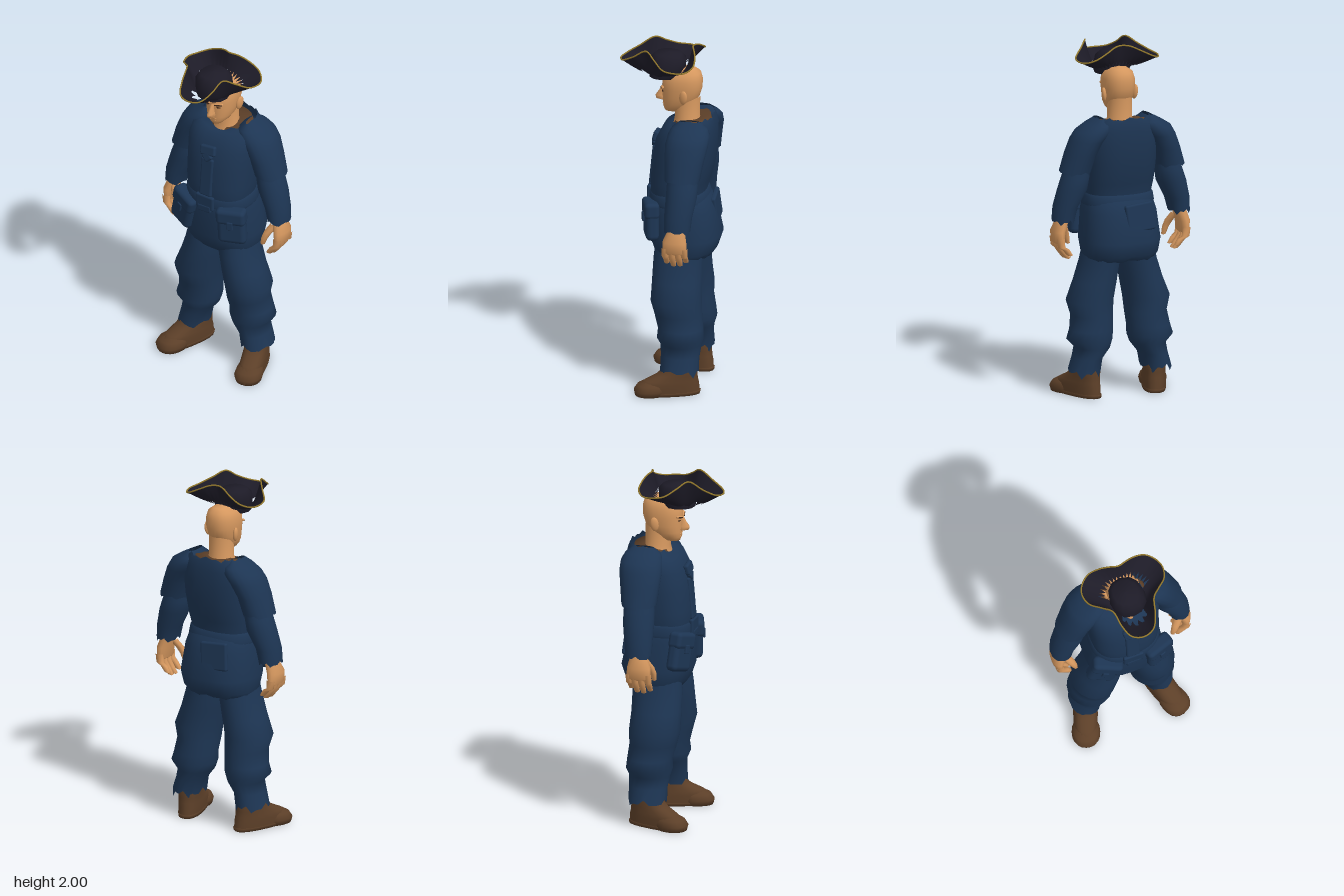
import * as THREE from 'three';
import { RoundedBoxGeometry } from 'three/addons/geometries/RoundedBoxGeometry.js';

const mat = (name, color, side = THREE.FrontSide) => {
  const m = new THREE.MeshStandardMaterial({ color, side });
  m.name = name;
  return m;
};

// Surface through horizontal rings [y, cx, cz, rx, rz], listed from low to high.
// p squares off the ellipse; jagLow / jagHigh tear the first / last edge;
// dip lowers the front of the last two rings.
function loft(rings, { n = 20, p = 2, jagLow = 0, jagHigh = 0, dip = 0 } = {}) {
  const pos = [], idx = [];
  const pw = v => Math.sign(v) * Math.abs(v) ** (2 / p);
  rings.forEach(([y, cx, cz, rx, rz], j) => {
    const jag = j === 0 ? jagLow : j === rings.length - 1 ? jagHigh : 0;
    for (let i = 0; i < n; i++) {
      const a = i / n * Math.PI * 2;
      const tear = jag * Math.sin(i * 2.3) * Math.cos(i * 0.9);
      const drop = j >= rings.length - 2 ? dip * Math.max(0, Math.sin(a)) : 0;
      pos.push(cx + rx * pw(Math.cos(a)), y + tear - drop, cz + rz * pw(Math.sin(a)));
      if (j === rings.length - 1) continue;
      const a0 = j * n + i, b0 = j * n + (i + 1) % n;
      idx.push(a0, a0 + n, b0, b0, a0 + n, b0 + n);
    }
  });
  const g = new THREE.BufferGeometry();
  g.setAttribute('position', new THREE.Float32BufferAttribute(pos, 3));
  g.setIndex(idx);
  g.computeVertexNormals();
  return g;
}

export function createModel() {
  const cloth = mat('blue cloth', 0x1d3553, THREE.DoubleSide);
  const skin = mat('skin', 0xd6985f);
  const leather = mat('brown leather', 0x5c3f28, THREE.DoubleSide);
  const felt = mat('black felt', 0x1d1b27, THREE.DoubleSide);
  const gold = mat('gold trim', 0x94792c);
  const dark = mat('dark features', 0x3a2519);

  const root = new THREE.Group();
  root.name = 'sailor';
  const add = (name, geo, material, parent = root) => {
    const m = new THREE.Mesh(geo, material);
    m.name = name;
    parent.add(m);
    return m;
  };
  const box = (name, w, h, d, material, [x, y, z], [rx, ry, rz] = [0, 0, 0], r = 0.012, parent = root) => {
    const m = add(name, new RoundedBoxGeometry(w, h, d, 2, Math.min(r, d * 0.45)), material, parent);
    m.position.set(x, y, z);
    m.rotation.set(rx, ry, rz);
    return m;
  };

  // Shirt, skirt and collar
  add('shirt', loft([
    [1.08, 0, -0.05, 0.18, 0.15], [1.15, 0, -0.045, 0.19, 0.155], [1.22, 0, -0.055, 0.2, 0.165],
    [1.34, 0, -0.075, 0.205, 0.175], [1.45, 0, -0.088, 0.212, 0.168], [1.53, 0, -0.11, 0.205, 0.148],
    [1.58, 0, -0.125, 0.175, 0.122], [1.598, 0, -0.135, 0.15, 0.105],
  ], { n: 32, p: 2.5, jagHigh: 0.012, dip: 0.045 }), cloth);
  add('skirt', loft([
    [0.78, 0, -0.085, 0.195, 0.15], [0.81, 0, -0.085, 0.215, 0.175], [0.89, 0, -0.085, 0.226, 0.202],
    [1.05, 0, -0.067, 0.21, 0.186], [1.11, 0, -0.055, 0.195, 0.172], [1.15, 0, -0.05, 0.18, 0.15],
  ], { n: 32, p: 2.4, jagLow: 0.008 }), cloth);
  add('belt', loft([
    [1.085, 0, -0.052, 0.2, 0.168], [1.1, 0, -0.052, 0.204, 0.172], [1.14, 0, -0.048, 0.2, 0.165],
    [1.155, 0, -0.048, 0.19, 0.155],
  ], { n: 32, p: 2.4 }), cloth);
  add('collar', loft([
    [1.51, 0, -0.12, 0.165, 0.115], [1.585, 0, -0.122, 0.14, 0.098], [1.575, 0, -0.1, 0.06, 0.06],
  ], { n: 24, dip: 0.025 }), leather);
  box('placket', 0.08, 0.24, 0.025, cloth, [0, 1.28, 0.101], [-0.1, 0, 0]);
  box('buckle', 0.12, 0.09, 0.024, cloth, [0, 1.12, 0.118]);
  box('buckleTab', 0.09, 0.045, 0.022, cloth, [0, 1.08, 0.122], [0, 0, 0.06]);
  box('chestKnot', 0.1, 0.06, 0.03, cloth, [0, 1.45, 0.086], [-0.25, 0, 0.12]);
  box('knotTail', 0.055, 0.055, 0.03, cloth, [0, 1.415, 0.094], [-0.2, 0, 0.78]);
  box('backFlap', 0.17, 0.16, 0.03, cloth, [-0.06, 1.03, -0.243], [0.12, 0.05, -0.1]);

  // Head: skull, neck, ears and face
  add('neck', loft([[1.53, 0, -0.095, 0.095, 0.085], [1.58, 0, -0.09, 0.07, 0.07],
    [1.7, 0, -0.088, 0.068, 0.075]]), skin);
  add('head', loft([
    [1.603, 0, -0.015, 0, 0], [1.608, 0, -0.01, 0.034, 0.046], [1.63, 0, -0.025, 0.056, 0.07],
    [1.66, 0, -0.04, 0.073, 0.087], [1.7, 0, -0.055, 0.082, 0.104], [1.75, 0, -0.062, 0.089, 0.112],
    [1.8, 0, -0.064, 0.089, 0.112], [1.84, 0, -0.072, 0.075, 0.094], [1.862, 0, -0.08, 0.045, 0.058],
    [1.87, 0, -0.082, 0, 0],
  ], { n: 28, p: 2.25 }), skin);
  add('nose', loft([
    [1.666, 0, 0.05, 0.012, 0.01], [1.673, 0, 0.055, 0.022, 0.034], [1.69, 0, 0.055, 0.018, 0.038],
    [1.72, 0, 0.05, 0.012, 0.022], [1.75, 0, 0.043, 0.013, 0.014],
  ], { n: 10 }), skin);
  box('upperLip', 0.048, 0.01, 0.014, skin, [0, 1.65, 0.04]);
  box('lowerLip', 0.044, 0.012, 0.014, skin, [0, 1.636, 0.038]);
  for (const s of [1, -1]) {
    const ear = add('ear', new THREE.SphereGeometry(1, 14, 10), skin);
    ear.scale.set(0.014, 0.042, 0.024);
    ear.position.set(s * 0.093, 1.715, -0.085);
    ear.rotation.set(-0.15, s * -0.3, s * -0.12);
    box('brow', 0.055, 0.013, 0.016, skin, [s * 0.04, 1.752, 0.044], [0, s * 0.25, s * 0.2]);
    box('eyebrow', 0.05, 0.008, 0.009, dark, [s * 0.04, 1.75, 0.05], [0, s * 0.25, s * 0.2]);
    box('eye', 0.024, 0.006, 0.008, dark, [s * 0.038, 1.73, 0.043], [0, s * 0.25, s * 0.08]);
  }

  for (const s of [1, -1]) {
    const limb = (name, rings, material, opts) =>
      add(name, loft(rings.map(([y, x, ...r]) => [y, s * x, ...r]), opts), material);

    // Arm: loose short sleeve over a long one, then hand
    limb('shortSleeve', [
      [1.3, 0.283, -0.12, 0.088, 0.1], [1.4, 0.252, -0.124, 0.088, 0.112], [1.48, 0.214, -0.13, 0.095, 0.122],
      [1.53, 0.175, -0.135, 0.105, 0.118], [1.565, 0.15, -0.135, 0.075, 0.1], [1.597, 0.145, -0.135, 0.018, 0.06],
    ], cloth, { jagLow: 0.012 });
    limb('longSleeve', [
      [1.02, 0.35, -0.105, 0.062, 0.075], [1.1, 0.337, -0.108, 0.07, 0.08], [1.2, 0.298, -0.118, 0.085, 0.088],
      [1.27, 0.28, -0.12, 0.078, 0.088], [1.36, 0.26, -0.12, 0.06, 0.075],
    ], cloth, { jagLow: 0.018 });
    limb('palm', [
      [0.885, 0.375, -0.097, 0.012, 0.055], [0.9, 0.377, -0.097, 0.03, 0.07], [0.96, 0.376, -0.095, 0.038, 0.068],
      [1.01, 0.358, -0.1, 0.038, 0.052], [1.07, 0.347, -0.105, 0.038, 0.046],
    ], skin, { n: 16 });
    [-0.042, -0.08, -0.117, -0.15].forEach((z, i) => {
      const tip = [0.81, 0.795, 0.798, 0.82][i];
      limb('finger', [
        [tip, 0.32, z, 0, 0], [tip + 0.007, 0.325, z, 0.017, 0.014], [tip + 0.04, 0.349, z, 0.021, 0.017],
        [0.875, 0.375, z, 0.022, 0.019], [0.925, 0.38, z, 0.024, 0.019],
      ], skin, { n: 10 });
    });
    limb('thumb', [
      [0.862, 0.288, -0.03, 0, 0], [0.87, 0.29, -0.03, 0.013, 0.014], [0.91, 0.3, -0.032, 0.019, 0.018],
      [0.95, 0.316, -0.045, 0.024, 0.022], [1.0, 0.345, -0.075, 0.026, 0.026],
    ], skin, { n: 10 });

    // Baggy trouser leg with a torn hem
    limb('trouserLeg', [
      [0.14, 0.215, -0.09, 0.088, 0.11], [0.22, 0.197, -0.09, 0.082, 0.11], [0.28, 0.168, -0.09, 0.1, 0.117],
      [0.325, 0.182, -0.088, 0.13, 0.132], [0.38, 0.172, -0.088, 0.122, 0.128], [0.46, 0.162, -0.072, 0.118, 0.135],
      [0.54, 0.17, -0.062, 0.132, 0.145], [0.65, 0.138, -0.06, 0.12, 0.142], [0.76, 0.112, -0.062, 0.11, 0.142],
      [0.86, 0.1, -0.07, 0.1, 0.14],
    ], cloth, { jagLow: 0.03 });

    // Boot with the toe turned out
    const boot = new THREE.Group();
    boot.name = 'boot';
    boot.position.set(s * 0.21, 0, -0.09);
    boot.rotation.y = s * 0.33;
    root.add(boot);
    add('sole', loft([[0, 0, 0.068, 0, 0], [0, 0, 0.068, 0.066, 0.183], [0.018, 0, 0.068, 0.068, 0.187],
      [0.022, 0, 0.068, 0.062, 0.175]], { p: 2.5 }), leather, boot);
    add('upper', loft([
      [0.015, 0, 0.065, 0.066, 0.178], [0.06, 0, 0.063, 0.069, 0.172], [0.085, 0, 0.045, 0.066, 0.148],
      [0.115, 0, 0.015, 0.064, 0.115], [0.15, 0, -0.005, 0.064, 0.095], [0.21, 0, -0.01, 0.064, 0.085],
    ], { p: 2.4 }), leather, boot);
    add('toeCap', loft([
      [0, 0, 0.165, 0, 0], [0, 0, 0.165, 0.072, 0.085], [0.03, 0, 0.165, 0.08, 0.092],
      [0.06, 0, 0.155, 0.07, 0.082], [0.085, 0, 0.14, 0.04, 0.05], [0.09, 0, 0.13, 0, 0],
    ], { p: 2.3 }), leather, boot);

    // Belt pouch
    const pouch = new THREE.Group();
    pouch.name = 'pouch';
    pouch.position.set(s * 0.16, 1.01, 0.083);
    pouch.rotation.set(0, s * 0.32, s > 0 ? 0.05 : -0.25);
    root.add(pouch);
    box('pouchBody', 0.165, 0.21, 0.075, cloth, [0, -0.01, 0], [0, 0, 0], 0.03, pouch);
    box('pouchFlap', 0.172, 0.095, 0.085, cloth, [0, 0.06, 0.003], [0, 0, 0], 0.025, pouch);
    box('pouchTab', 0.035, 0.05, 0.014, cloth, [0, 0.015, 0.045], [0, 0, 0], 0.005, pouch);
  }

  // Three-cornered hat: crown, torn brim and gold edging
  const hat = new THREE.Group();
  hat.name = 'hat';
  root.add(hat);
  add('hatCrown', loft([
    [1.812, 0, 0.04, 0.094, 0.085], [1.85, 0, 0.025, 0.104, 0.106], [1.91, -0.008, 0.022, 0.098, 0.104],
    [1.94, -0.012, 0.02, 0.07, 0.075], [1.948, -0.012, 0.02, 0, 0],
  ], { n: 12, p: 2.2 }), felt, hat);
  const half = [[0.065, 1.905, 0.265], [0.1, 1.94, 0.2], [0.122, 1.988, 0.12], [0.17, 1.955, 0.065],
    [0.225, 1.92, 0.005], [0.24, 1.912, -0.06], [0.22, 1.91, -0.115], [0.17, 1.93, -0.155],
    [0.1, 1.965, -0.153], [0.045, 1.99, -0.135]];
  const edge = new THREE.CatmullRomCurve3([
    [0, 1.898, 0.288], ...half, [0, 1.995, -0.122], ...half.map(([x, y, z]) => [-x, y, z]).reverse(),
  ].map(q => new THREE.Vector3(...q)), true);
  const N = 72, R = 6, pos = [], idx = [];
  for (let i = 0; i < N; i++) {
    const P = edge.getPoint(i / N);
    const a = Math.atan2(P.z - 0.02, P.x);
    const Q = new THREE.Vector3(0.1 * Math.cos(a), 1.838 - 0.022 * Math.sin(a), 0.02 + 0.1 * Math.sin(a));
    const front = P.z > 0.17, back = P.z < -0.03;
    const start = front ? [0.46, 0.24, 0.42][i % 3] : back ? [0.4, 0.12][i % 2] : 0;
    for (let j = 0; j <= R; j++) {
      const t = start + (1 - start) * j / R;
      const v = Q.clone().lerp(P, t);
      pos.push(v.x, Q.y + (P.y - Q.y) * t ** 1.35, v.z);
      if (j === R) continue;
      const a0 = i * (R + 1) + j, b0 = (i + 1) % N * (R + 1) + j;
      idx.push(a0, b0, a0 + 1, b0, b0 + 1, a0 + 1);
    }
  }
  const brim = new THREE.BufferGeometry();
  brim.setAttribute('position', new THREE.Float32BufferAttribute(pos, 3));
  brim.setIndex(idx);
  brim.computeVertexNormals();
  add('hatBrim', brim, felt, hat);
  add('brimTrim', new THREE.TubeGeometry(edge, 96, 0.0045, 6, true), gold, hat);

  return root;
}
